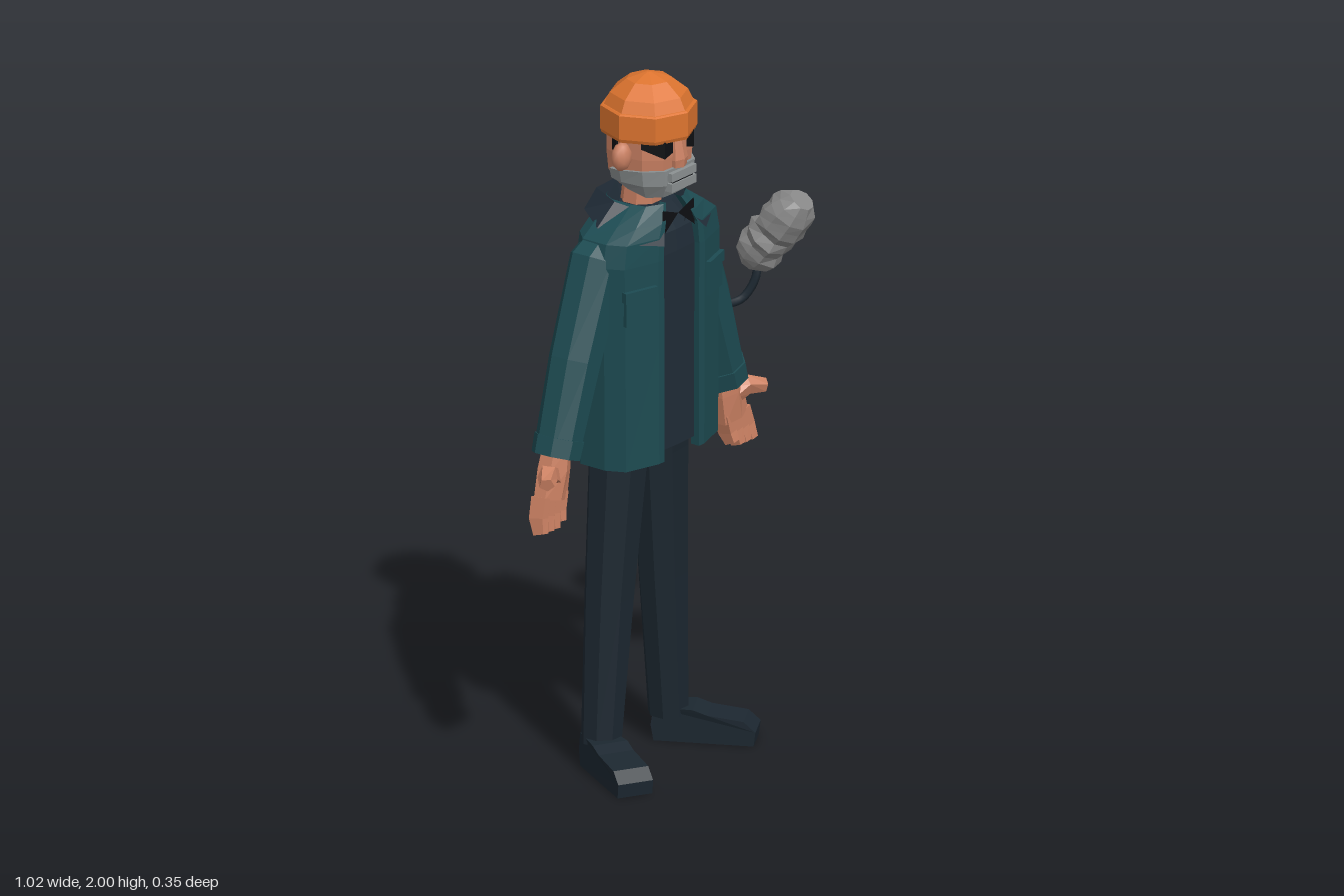
import * as THREE from 'three';

const V = (x, y, z) => new THREE.Vector3(x, y, z);
const mat = (name, color, side = THREE.FrontSide) => {
  const m = new THREE.MeshStandardMaterial({ color, side });
  m.name = name;
  return m;
};

// Flat-shaded skin over a list of rings; rings run counterclockwise about the sweep direction
function loft(rings, closed = true, caps = closed) {
  const pos = [], n = rings[0].length;
  const tri = (...ps) => ps.forEach(p => pos.push(p.x, p.y, p.z));
  for (let r = 0; r + 1 < rings.length; r++) {
    for (let i = 0; i < (closed ? n : n - 1); i++) {
      const j = (i + 1) % n, [p, q] = [rings[r], rings[r + 1]];
      tri(p[i], p[j], q[j]);
      tri(p[i], q[j], q[i]);
    }
  }
  if (caps) {
    const centre = ring => ring.reduce((s, p) => s.add(p), V(0, 0, 0)).divideScalar(n);
    const first = rings[0], last = rings[rings.length - 1];
    const a = centre(first), b = centre(last);
    for (let i = 0; i < n; i++) {
      const j = (i + 1) % n;
      tri(a, first[j], first[i]);
      tri(b, last[i], last[j]);
    }
  }
  const g = new THREE.BufferGeometry();
  g.setAttribute('position', new THREE.Float32BufferAttribute(pos, 3));
  g.computeVertexNormals();
  return g;
}

// Limb along stations [x, y, z, half width, half depth]; jitter roughens the surface
function limb(stations, n = 8, phase = Math.PI / n, jitter = () => 1) {
  const c = stations.map(s => V(s[0], s[1], s[2]));
  const k = 1 / Math.cos(phase);
  return loft(stations.map((s, i) => {
    const d = c[Math.min(i + 1, c.length - 1)].clone().sub(c[Math.max(i - 1, 0)]).normalize();
    const u = d.clone().cross(V(0, 0, 1)).normalize(), v = d.clone().cross(u);
    return Array.from({ length: n }, (_, j) => {
      const a = phase + j * 2 * Math.PI / n, r = k * jitter();
      return c[i].clone().addScaledVector(u, Math.cos(a) * s[3] * r).addScaledVector(v, Math.sin(a) * s[4] * r);
    });
  }));
}

// Mirror a half outline of [x, z] points running from the front, round +x, to the back
const mirror = half => half.concat(half.filter(p => p[0] !== 0).reverse().map(([x, z]) => [-x, z]));

// Stack one plan outline at levels [y, x scale, z scale] about depth z0
const stack = (plan, levels, z0) =>
  levels.map(([y, sx, sz]) => plan.map(([x, z]) => V(x * sx, y, z0 + (z - z0) * sz)));

export function createModel() {
  const M = {
    cap: mat('orange wool', 0xdd742f),
    skin: mat('skin', 0xcb8163),
    beard: mat('grey beard', 0x8c9192),
    jacket: mat('teal jacket', 0x1d4b52, THREE.DoubleSide),
    navy: mat('dark navy cloth', 0x202c37, THREE.DoubleSide),
    trousers: mat('charcoal cloth', 0x1c2730),
    black: mat('black', 0x0e0f12, THREE.DoubleSide),
    fur: mat('grey fur', 0x878787),
  };
  const model = new THREE.Group();
  const body = new THREE.Group();
  body.name = 'figure';
  body.position.x = -0.01;
  model.add(body);
  const add = (name, geo, m, parent = body) => {
    const mesh = new THREE.Mesh(geo, m);
    mesh.name = name;
    parent.add(mesh);
    return mesh;
  };

  // Cap: turned-up band and faceted dome
  const capRing = (y, r) => [0, y, -0.045, r, r];
  add('capBand', limb([capRing(1.83, 0.13), capRing(1.84, 0.134), capRing(1.908, 0.134), capRing(1.912, 0.128)], 8, 0), M.cap);
  add('capDome', limb([capRing(1.9, 0.13), capRing(1.945, 0.108), capRing(1.982, 0.062), capRing(2.0, 0.006)], 8, 0), M.cap);

  // Head, beard and face
  const skull = mirror([[0, 0.058], [0.065, 0.055], [0.103, 0.01], [0.108, -0.06], [0.08, -0.13], [0, -0.15]]);
  add('head', loft(stack(skull, [[1.68, 0.72, 0.7], [1.72, 0.95, 0.95], [1.78, 1, 1], [1.86, 1, 1]], -0.045)), M.skin);
  add('neck', limb([[0, 1.58, -0.075, 0.055, 0.055], [0, 1.7, -0.065, 0.05, 0.05]]), M.skin);
  const jaw = mirror([[0, 0.066], [0.068, 0.062], [0.11, 0.015], [0.114, -0.06], [0.1, -0.105]]);
  const beardRings = stack(jaw, [[1.665, 0.72, 0.8], [1.705, 0.93, 0.97], [1.75, 1, 1]], -0.04);
  beardRings[0].forEach(p => { p.y += Math.max(0, -p.z) * 0.25; });
  beardRings[2].forEach(p => { p.y += Math.min(0, p.z) * 0.15; });
  add('beard', loft(beardRings), M.beard);
  for (const y of [1.7, 1.73]) {
    add('moustache', new THREE.BoxGeometry(0.11, 0.024, 0.03), M.beard).position.set(0, y, 0.062);
  }
  add('mouth', new THREE.BoxGeometry(0.09, 0.006, 0.02), M.black).position.set(0, 1.715, 0.062);
  add('nose', limb([[0, 1.75, 0.055, 0.026, 0.018], [0, 1.77, 0.058, 0.028, 0.018], [0, 1.84, 0.05, 0.017, 0.012]], 6), M.skin);
  for (const s of [1, -1]) {
    const ear = add('ear', new THREE.IcosahedronGeometry(1, 1), M.skin);
    ear.scale.set(0.033, 0.042, 0.026);
    ear.position.set(0.123 * s, 1.787, -0.045);
    // Dark eye patch wrapping to the temple, and a sideburn behind the ear
    const low = [[0.03, 1.795, 0.061], [0.066, 1.785, 0.06], [0.108, 1.815, 0.01]];
    add('eye', loft([low, low.map(([x, , z]) => [x, 1.838, z])].map(r => r.map(([x, y, z]) => V(x * s, y, z))), false), M.black);
    const hair = add('sideburn', new THREE.BoxGeometry(0.006, 0.045, 0.022), M.black);
    hair.position.set(0.106 * s, 1.815, -0.08);
    hair.rotation.y = 0.4 * s;
  }

  // Shirt
  const chest = mirror([[0, 0.054], [0.09, 0.05], [0.19, 0.015], [0.2, -0.11], [0.11, -0.15]]);
  add('shirt', loft(stack(chest, [[0.935, 1, 1], [1.5, 1, 1], [1.56, 0.8, 0.95], [1.625, 0.4, 0.6]], -0.06)), M.navy);

  // Open jacket
  const coat = mirror([[0.082, 0.04], [0.08, 0.068], [0.105, 0.068], [0.215, 0.035], [0.24, -0.02],
    [0.236, -0.105], [0.19, -0.148], [0.12, -0.172], [0.06, -0.183], [0, -0.185]]);
  add('jacket', loft(stack(coat, [[0.91, 0.97, 1], [1.25, 0.98, 1], [1.5, 1, 1], [1.565, 0.94, 0.98],
    [1.6, 0.72, 0.92], [1.645, 0.42, 0.78]], -0.06), false), M.jacket);

  // Collar: folded strip round the neck, with black shirt points inside it
  const collarHalf = rows => rows.map(([x, y, z]) => V(x, y, z))
    .concat(rows.slice(0, -1).reverse().map(([x, y, z]) => V(-x, y, z)));
  const fold = collarHalf([[0.055, 1.6, 0.05], [0.095, 1.63, 0.01], [0.122, 1.65, -0.07], [0.105, 1.67, -0.145], [0, 1.667, -0.155]]);
  const hem = collarHalf([[0.095, 1.545, 0.08], [0.165, 1.56, 0.045], [0.188, 1.59, -0.08], [0.13, 1.61, -0.168], [0, 1.615, -0.178]]);
  const stand = fold.map(p => V(p.x * 0.8, p.y - 0.06, -0.06 + (p.z + 0.06) * 0.85));
  add('collar', loft([hem, fold, stand], false), M.navy);

  for (const s of [1, -1]) {
    const point = new THREE.Shape([[0, 1.61], [0.07 * s, 1.635], [0.075 * s, 1.555]].map(p => new THREE.Vector2(...p)));
    add('shirtCollarPoint', new THREE.ShapeGeometry(point), M.black).position.z = 0.056;

    // Chest pocket and flap
    const pocket = add('pocket', new THREE.BoxGeometry(0.1, 0.09, 0.014), M.jacket);
    pocket.position.set(0.168 * s, 1.38, 0.051);
    pocket.rotation.y = 0.29 * s;
    const flap = add('pocketFlap', new THREE.BoxGeometry(0.108, 0.03, 0.02), M.jacket);
    flap.position.set(0.168 * s, 1.42, 0.052);
    flap.rotation.y = 0.29 * s;

    // Sleeve and cuff
    add('sleeve', limb([[0.15 * s, 1.535, -0.075, 0.06, 0.06], [0.19 * s, 1.5, -0.075, 0.085, 0.07],
      [0.295 * s, 1.24, -0.075, 0.074, 0.066], [0.38 * s, 0.99, -0.075, 0.06, 0.06]]), M.jacket);
    add('cuff', limb([[0.365 * s, 1.035, -0.075, 0.065, 0.066], [0.382 * s, 0.985, -0.075, 0.063, 0.064]]), M.jacket);

    // Hand, palm forward with the thumb outward
    const hand = new THREE.Group();
    hand.name = 'hand';
    body.add(hand);
    add('palm', limb([[0.378 * s, 1.01, -0.075, 0.038, 0.035], [0.39 * s, 0.95, -0.075, 0.046, 0.038],
      [0.41 * s, 0.87, -0.072, 0.052, 0.032]], 6), M.skin, hand);
    for (let i = 0; i < 4; i++) {
      const t = i - 1.5, drop = i === 0 ? 0.012 : 0;
      add('finger', limb([[(0.412 + t * 0.026) * s, 0.885, -0.072, 0.014, 0.024],
        [(0.428 + t * 0.027) * s, 0.83, -0.068, 0.014, 0.023],
        [(0.434 + t * 0.028) * s, 0.788 + drop, -0.055, 0.012, 0.017]], 4), M.skin, hand);
    }
    add('thumb', limb([[0.4 * s, 0.93, -0.07, 0.026, 0.026], [0.45 * s, 0.955, -0.05, 0.024, 0.024],
      [0.495 * s, 0.945, -0.02, 0.016, 0.018]], 5), M.skin, hand);

    // Trouser leg
    add('trouserLeg', limb([[0.09 * s, 1.0, -0.075, 0.088, 0.078], [0.094 * s, 0.88, -0.08, 0.088, 0.072],
      [0.122 * s, 0.5, -0.088, 0.072, 0.062], [0.152 * s, 0.08, -0.093, 0.052, 0.053]]), M.trousers);

    // Shoe, toe turned outward and heel narrowed
    const side = new THREE.Shape([[-0.13, 0.005], [0.148, 0.005], [0.153, 0.045], [0.12, 0.075], [0.02, 0.088],
      [-0.02, 0.102], [-0.13, 0.102], [-0.138, 0.05]].map(p => new THREE.Vector2(...p)));
    const shoeGeo = new THREE.ExtrudeGeometry(side, { depth: 0.104, bevelEnabled: false }).translate(0, 0, -0.052);
    const p = shoeGeo.attributes.position;
    for (let i = 0; i < p.count; i++) if (p.getX(i) < -0.1) p.setZ(i, p.getZ(i) * 0.78);
    shoeGeo.computeVertexNormals();
    const shoe = add('shoe', shoeGeo, M.trousers);
    shoe.rotation.y = 0.506 * s - Math.PI / 2;
    shoe.position.set(0.203 * s, 0, -0.014);
  }

  // Furry microphone cover, ragged by a small seeded generator
  let seed = 7;
  const rand = () => (seed = (seed * 16807) % 2147483647) / 2147483647;
  const a = V(0.424, 1.325, -0.025), b = V(0.438, 1.535, 0.14);
  const radii = [0.036, 0.056, 0.063, 0.059, 0.067, 0.06, 0.069, 0.063, 0.064, 0.054, 0.034];
  add('microphoneCover', limb(radii.map((r, i) => {
    const p = a.clone().lerp(b, i / (radii.length - 1));
    return [p.x, p.y, p.z, r, r];
  }), 9, Math.PI / 9, () => 0.9 + rand() * 0.18), M.fur, model);

  // Cables: microphone stalk and the loop at the hip
  const cable = (name, pts, r) => add(name,
    new THREE.TubeGeometry(new THREE.CatmullRomCurve3(pts.map(p => V(...p))), 20, r, 6), M.trousers, model);
  cable('microphoneStalk', [[0.42, 1.35, -0.01], [0.418, 1.29, 0], [0.385, 1.225, -0.025], [0.32, 1.215, -0.06]], 0.012);
  cable('hipCable', [[0.165, 0.94, -0.13], [0.2, 0.9, -0.14], [0.222, 0.84, -0.145], [0.205, 0.785, -0.14], [0.165, 0.775, -0.13]], 0.012);
  return model;
}
